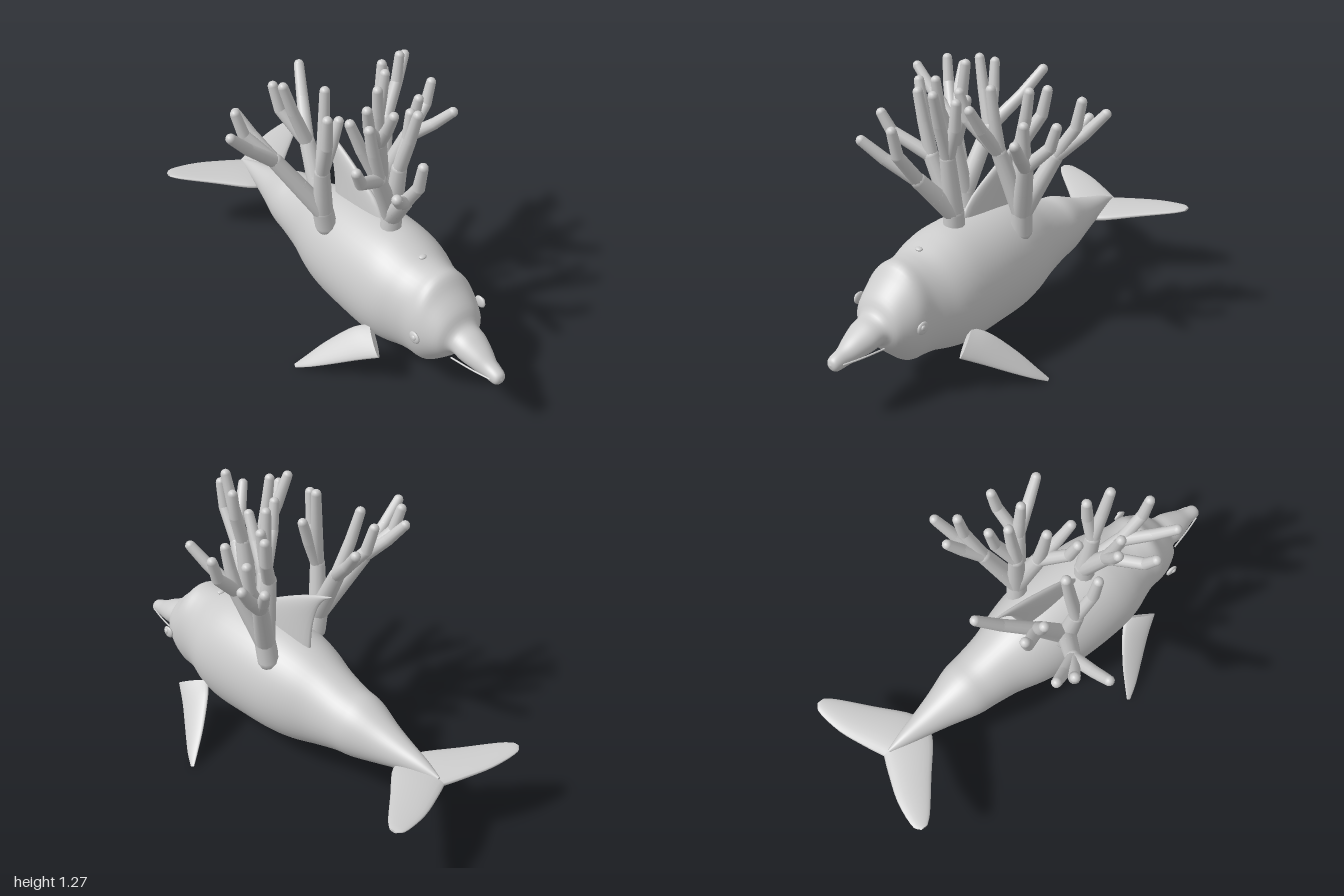
import * as THREE from 'three';
import { mergeGeometries } from 'three/addons/utils/BufferGeometryUtils.js';

const V = (x, y, z) => new THREE.Vector3(x, y, z);
const AXIS = -0.055; // z of the body's middle plane

// Skin a list of closed rings, with a fan at each end
function loft(rings) {
  const n = rings[0].length, pos = [], idx = [];
  rings.forEach(r => r.forEach(p => pos.push(p.x, p.y, p.z)));
  for (let i = 0; i < rings.length - 1; i++) for (let j = 0; j < n; j++) {
    const a = i * n + j, b = i * n + (j + 1) % n;
    idx.push(a, a + n, b, b, a + n, b + n);
  }
  [rings[0], rings[rings.length - 1]].forEach((r, e) => {
    const c = r.reduce((s, p) => s.add(p), V(0, 0, 0)).divideScalar(n);
    const start = pos.length / 3;
    r.concat([c]).forEach(p => pos.push(p.x, p.y, p.z));
    for (let j = 0; j < n; j++) {
      const a = start + j, b = start + (j + 1) % n;
      if (e) idx.push(a, start + n, b); else idx.push(a, b, start + n);
    }
  });
  // Turn the faces outward if the rings ran the other way
  let vol = 0;
  const at = k => V(pos[3 * k], pos[3 * k + 1], pos[3 * k + 2]);
  for (let k = 0; k < idx.length; k += 3) vol += at(idx[k]).dot(at(idx[k + 1]).cross(at(idx[k + 2])));
  if (vol < 0) idx.reverse();
  const g = new THREE.BufferGeometry();
  g.setAttribute('position', new THREE.Float32BufferAttribute(pos, 3));
  g.setIndex(idx);
  g.computeVertexNormals();
  return g;
}

// Fin from sections [leading point, trailing point, half thickness]
function fin(sections) {
  const last = sections[sections.length - 1];
  const chord = sections[0][0].clone().sub(sections[0][1]);
  const span = last[0].clone().sub(sections[0][1]);
  const normal = chord.cross(span).normalize();
  const path = k => new THREE.CatmullRomCurve3(sections.map(s => s[k]), false, 'catmullrom');
  const lead = path(0), trail = path(1), rings = [];
  const steps = 14;
  for (let i = 0; i <= steps; i++) {
    const t = i / steps, f = t * (sections.length - 1);
    const k = Math.min(Math.floor(f), sections.length - 2);
    const thick = THREE.MathUtils.lerp(sections[k][2], sections[k + 1][2], f - k);
    const a = lead.getPoint(t), b = trail.getPoint(t);
    const mid = a.clone().add(b).multiplyScalar(0.5), half = a.sub(b).multiplyScalar(0.5);
    rings.push(Array.from({ length: 20 }, (_, j) => {
      const u = j / 20 * Math.PI * 2;
      return mid.clone().addScaledVector(half, Math.cos(u)).addScaledVector(normal, thick * Math.sin(u));
    }));
  }
  return loft(rings);
}

// Tapered round limb through points, with a ball at every joint
function limb(points, r0, r1, out) {
  const n = points.length - 1;
  points.forEach((p, i) => {
    const ra = r0 + (r1 - r0) * i / n, rb = r0 + (r1 - r0) * (i + 1) / n;
    out.push(new THREE.SphereGeometry(ra, 12, 8).translate(p.x, p.y, p.z));
    if (i === n) return;
    const d = points[i + 1].clone().sub(p), len = d.length();
    const g = new THREE.CylinderGeometry(rb, ra, len, 12, 1, true).translate(0, len / 2, 0);
    g.applyQuaternion(new THREE.Quaternion().setFromUnitVectors(V(0, 1, 0), d.normalize()));
    out.push(g.translate(p.x, p.y, p.z));
  });
}

// Coral: a short trunk, thick forks off the trunk, and bent tips off each fork
function coral(base, node, forks) {
  const parts = [], root = V(...base), crotch = V(...node);
  limb([root, crotch], 0.048, 0.046, parts);
  forks.forEach(([fork, ...tips]) => {
    const f = V(...fork), bend = crotch.clone().lerp(f, 0.5);
    limb([crotch, bend, f], 0.044, 0.034, parts);
    tips.forEach((tip, i) => {
      // Every other tip spreads sideways first and then turns up
      const t = V(...tip), elbow = f.clone().lerp(t, i % 2 ? 0.8 : 0.6);
      elbow.y = THREE.MathUtils.lerp(f.y, t.y, 0.55);
      limb([f, elbow, t], 0.03, 0.022, parts);
    });
  });
  return mergeGeometries(parts);
}

// Body stations: x, top y, bottom y, half width
const BODY = [
  [-0.87, 0.345, 0.32, 0.008], [-0.78, 0.38, 0.3, 0.035], [-0.68, 0.408, 0.278, 0.06],
  [-0.57, 0.445, 0.245, 0.09], [-0.45, 0.495, 0.212, 0.128], [-0.36, 0.51, 0.195, 0.14],
  [-0.24, 0.55, 0.155, 0.16], [-0.12, 0.595, 0.12, 0.197], [0, 0.625, 0.102, 0.222],
  [0.16, 0.64, 0.097, 0.234], [0.32, 0.64, 0.09, 0.232], [0.42, 0.618, 0.108, 0.218],
  [0.5, 0.594, 0.13, 0.19], [0.56, 0.59, 0.134, 0.172], [0.62, 0.587, 0.14, 0.168],
  [0.67, 0.535, 0.18, 0.156], [0.73, 0.475, 0.24, 0.124], [0.765, 0.418, 0.281, 0.084],
  [0.82, 0.398, 0.272, 0.076], [0.88, 0.368, 0.264, 0.058], [0.93, 0.338, 0.257, 0.04],
  [0.975, 0.322, 0.254, 0.033], [0.993, 0.31, 0.265, 0.023], [1, 0.291, 0.286, 0.003],
];

function bodyGeometry() {
  const path = f => new THREE.CatmullRomCurve3(BODY.map(f), false, 'catmullrom');
  const heights = path(s => V(s[0], s[1], s[2])), widths = path(s => V(s[0], s[3], 0));
  const steps = 92, rings = [];
  for (let i = 0; i <= steps; i++) {
    const h = heights.getPoint(i / steps), w = widths.getPoint(i / steps).y;
    rings.push(Array.from({ length: 48 }, (_, j) => {
      const u = j / 48 * Math.PI * 2;
      return V(h.x, (h.y + h.z) / 2 + (h.y - h.z) / 2 * Math.sin(u), AXIS + w * Math.cos(u));
    }));
  }
  return loft(rings);
}

export function createModel() {
  const group = new THREE.Group();
  const grey = new THREE.MeshStandardMaterial({ color: 0xcccccc });
  grey.name = 'grey';
  const add = (name, geometry) => {
    const mesh = new THREE.Mesh(geometry, grey);
    mesh.name = name;
    group.add(mesh);
    return mesh;
  };
  const ball = (name, p, s) => {
    const mesh = add(name, new THREE.SphereGeometry(1, 20, 14));
    mesh.position.set(...p);
    mesh.scale.set(...s);
  };

  add('body', bodyGeometry());
  ball('blowhole', [0.485, 0.602, AXIS], [0.014, 0.008, 0.018]);

  // Swept dorsal fin
  add('dorsalFin', fin([[0.26, -0.11, 0.56, 0.03], [0.18, -0.12, 0.7, 0.024], [0.02, -0.145, 0.805, 0.018],
    [-0.12, -0.185, 0.875, 0.01], [-0.225, -0.235, 0.915, 0.003]]
    .map(([l, t, y, h]) => [V(l, y, AXIS), V(t, y, AXIS), h])));

  // Paired parts on both sides
  [['left', 1], ['right', -1]].forEach(([side, s]) => {
    const P = (x, y, z) => V(x, y, AXIS + s * z);
    add(side + 'Flipper', fin([
      [P(0.515, 0.19, 0.25), P(0.375, 0.25, 0.185), 0.02],
      [P(0.43, 0.14, 0.3), P(0.315, 0.215, 0.24), 0.018],
      [P(0.33, 0.08, 0.37), P(0.245, 0.13, 0.33), 0.013],
      [P(0.25, 0.035, 0.425), P(0.2, 0.055, 0.405), 0.008],
      [P(0.19, 0.005, 0.457), P(0.175, 0.012, 0.45), 0.003]]));
    add(side + 'Fluke', fin([[-0.66, -0.9, 0, 0.026], [-0.685, -0.935, 0.08, 0.025], [-0.795, -0.983, 0.21, 0.018],
      [-0.9, -1, 0.335, 0.011], [-0.945, -0.98, 0.375, 0.005]]
      .map(([l, t, z, h]) => {
        const y = x => 0.306 + (-0.675 - x) * 0.07 + z * 0.09;
        return [P(l, y(l), z), P(t, y(t), z), h];
      })));
    ball(side + 'Eye', [0.66, 0.378, AXIS + s * 0.183], [0.03, 0.028, 0.011]);
    ball(side + 'Pupil', [0.665, 0.384, AXIS + s * 0.192], [0.012, 0.012, 0.007]);
    const mouth = new THREE.CatmullRomCurve3([P(0.78, 0.297, 0.083), P(0.88, 0.292, 0.06), P(0.965, 0.29, 0.036)]);
    add(side + 'Mouth', new THREE.TubeGeometry(mouth, 12, 0.004, 8));
  });

  // Three branching corals on the back
  add('leftCoral', coral([0.02, 0.56, 0.1], [0.02, 0.64, 0.115], [
    [[-0.09, 0.91, 0.28], [-0.09, 1.11, 0.49], [-0.19, 1.14, 0.4], [-0.25, 1.1, 0.36]],
    [[-0.12, 0.91, 0.09], [-0.34, 1.15, -0.03], [-0.25, 1.16, 0.17], [-0.16, 1.2, 0.18]],
    [[0.05, 0.87, 0.14], [0.02, 1.24, 0.1], [0.13, 1.18, 0.17], [0.06, 1.1, 0.06]],
  ]));
  add('frontCoral', coral([0.27, 0.6, AXIS], [0.275, 0.69, -0.058], [
    [[0.42, 0.87, 0], [0.57, 1.05, 0.17], [0.545, 1.12, 0.02]],
    [[0.31, 0.95, -0.06], [0.4, 1.25, -0.07], [0.31, 1.2, -0.11]],
    [[0.3, 0.93, 0.04], [0.31, 1.2, 0.1], [0.395, 1.1, 0.23], [0.25, 1.22, 0.15]],
  ]));
  add('rightCoral', coral([0, 0.55, -0.2], [0.01, 0.64, -0.208], [
    [[-0.08, 0.9, -0.31], [-0.18, 1.11, -0.49], [-0.12, 1.16, -0.41], [-0.2, 1.06, -0.39]],
    [[0.09, 0.9, -0.29], [0.27, 1.08, -0.38], [0.07, 1.11, -0.43], [0.13, 1.1, -0.31]],
    [[0.0, 0.95, -0.19], [0, 1.19, -0.23], [-0.07, 1.19, -0.27]],
    [[0.08, 0.92, -0.14], [0.1, 1.2, -0.11], [0.17, 1.18, 0], [0.22, 1.14, -0.1]],
  ]));
  return group;
}
